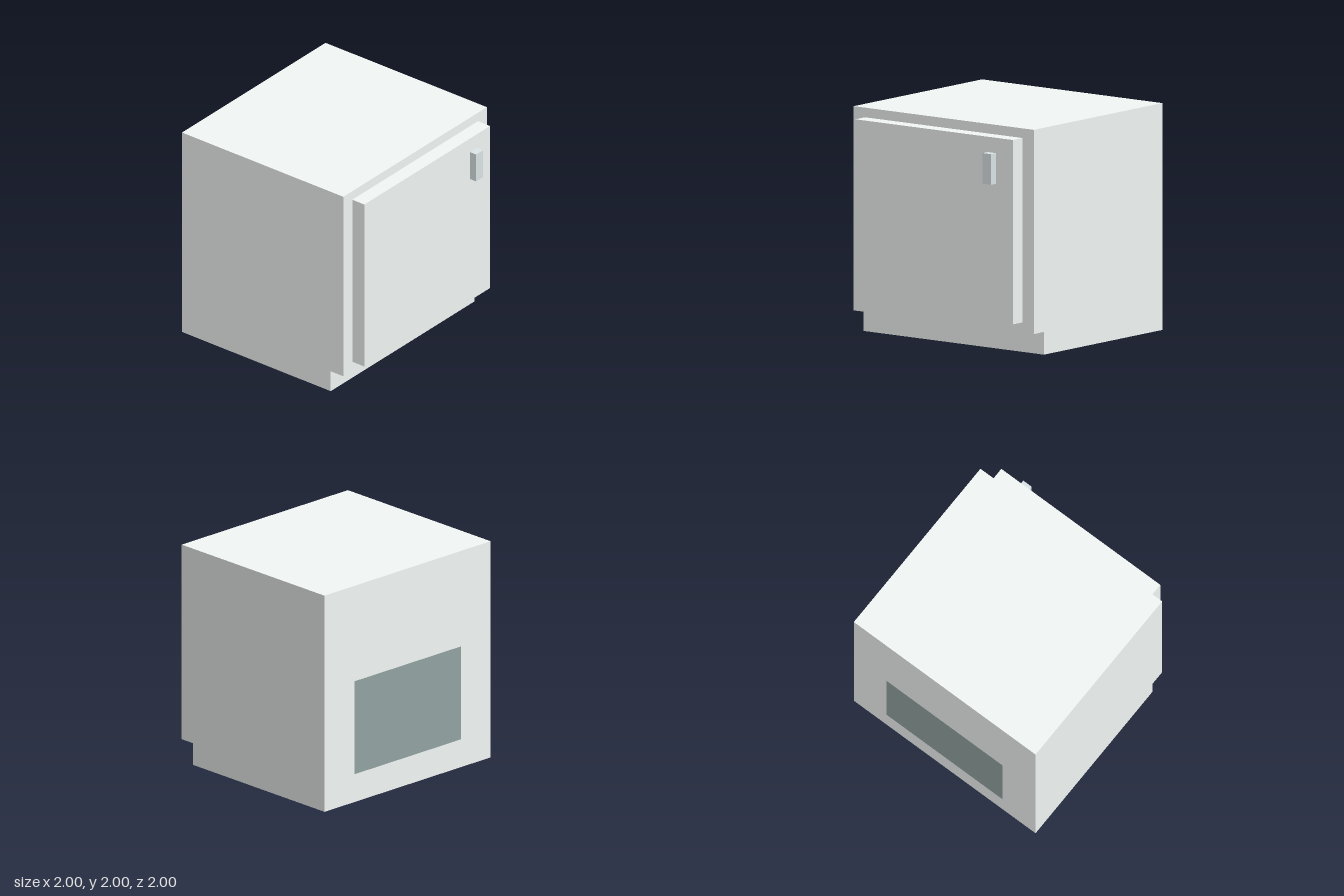
import * as THREE from 'three';

const material = (color) => new THREE.MeshStandardMaterial({ color });
const paint = material(0xf5faf7);

// Box given by its lower and upper corners
function box(name, [x0, y0, z0], [x1, y1, z1], mat) {
  const mesh = new THREE.Mesh(new THREE.BoxGeometry(x1 - x0, y1 - y0, z1 - z0), mat);
  mesh.position.set((x0 + x1) / 2, (y0 + y1) / 2, (z0 + z1) / 2);
  mesh.name = name;
  return mesh;
}

export function createModel() {
  const group = new THREE.Group();
  group.name = 'cabinet';

  // Cabinet body: side profile with a recessed toe kick, extruded across the width
  const profile = new THREE.Shape(
    [[-1, 0], [0.655, 0], [0.655, 0.2], [0.795, 0.2], [0.795, 2], [-1, 2]]
      .map(([z, y]) => new THREE.Vector2(-z, y))
  );
  const bodyGeometry = new THREE.ExtrudeGeometry(profile, { depth: 2, bevelEnabled: false });
  bodyGeometry.translate(0, 0, -1).rotateY(Math.PI / 2);
  const body = new THREE.Mesh(bodyGeometry, paint);
  body.name = 'body';
  group.add(body);

  // Door and its handle
  group.add(box('door', [-0.875, 0.29, 0.795], [0.875, 1.915, 0.93], paint));
  group.add(box('handle', [0.595, 1.51, 0.93], [0.688, 1.78, 1], material(0xdfe8ea)));

  // Flat service panel on the back
  const panel = new THREE.Mesh(new THREE.PlaneGeometry(1.28, 0.86), material(0x94a5a4));
  panel.rotation.y = Math.PI;
  panel.position.set(0, 0.688, -1.002);
  panel.name = 'backPanel';
  group.add(panel);

  return group;
}
